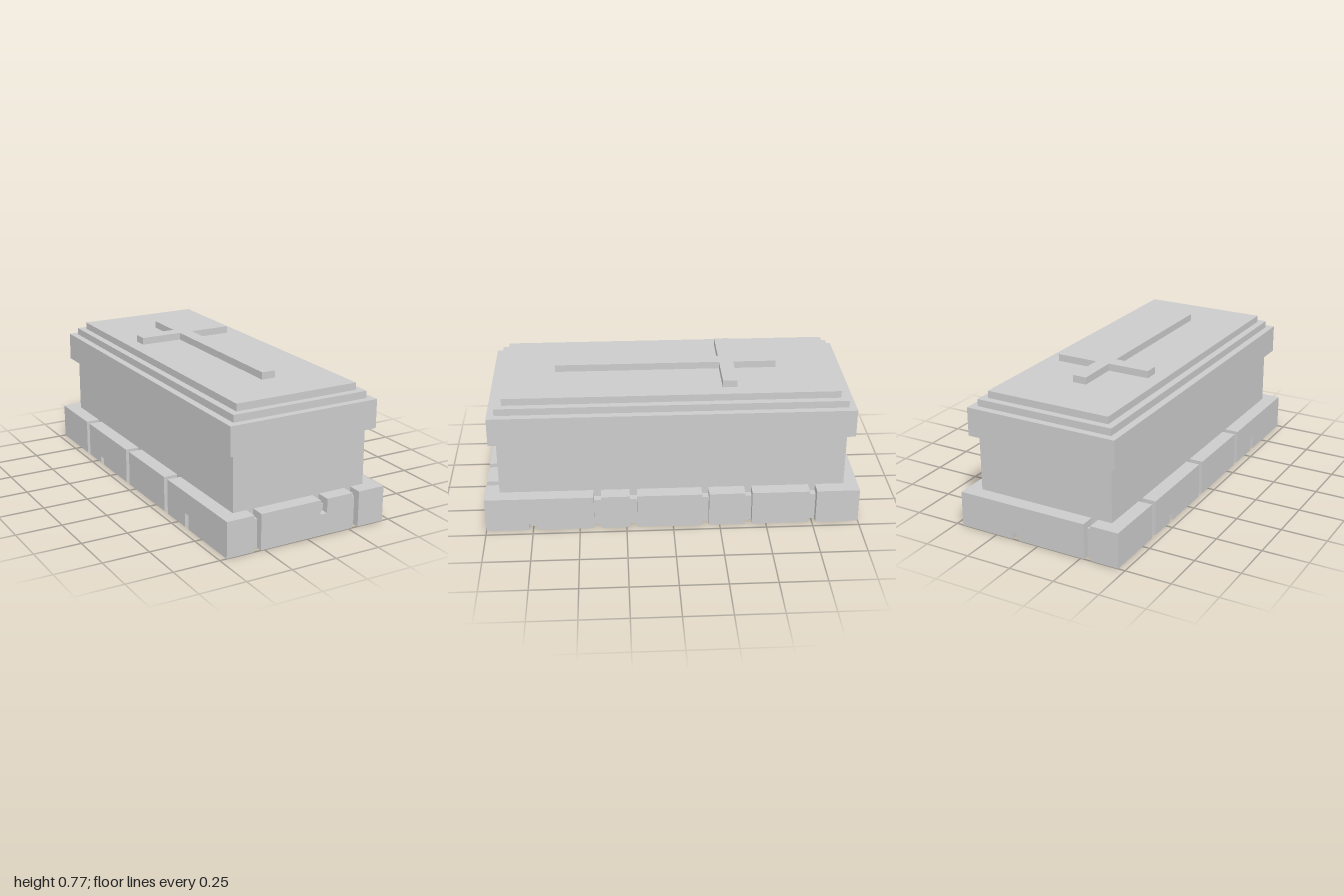
import * as THREE from 'three';

const U = 1 / 26; // one stone unit; all sizes below are in these units
const material = new THREE.MeshStandardMaterial({ color: 0xcccccc, flatShading: true });

export function createModel() {
  const group = new THREE.Group();

  const add = (name, geometry, parent = group) => {
    const mesh = new THREE.Mesh(geometry.scale(U, U, U), material);
    mesh.name = name;
    parent.add(mesh);
  };

  // Box given by its limits
  const slab = (name, x0, x1, y0, y1, z0, z1, parent) =>
    add(name, new THREE.BoxGeometry(x1 - x0, y1 - y0, z1 - z0)
      .translate((x0 + x1) / 2, (y0 + y1) / 2, (z0 + z1) / 2), parent);

  // Stacked slabs, centred: half width, half length, bottom, top
  for (const [name, w, l, y0, y1] of [
    ['baseCore', 11, 25, 0, 4],
    ['body', 10, 24, 4, 13],
    ['lid', 11, 25, 13, 17],
    ['lidLowerStep', 10, 24, 17, 18],
    ['lidUpperStep', 9, 23, 18, 19],
  ]) slab(name, -w, w, y0, y1, -l, l);

  // Raised cross on the lid
  const cross = new THREE.Shape([
    [-1, -16], [1, -16], [1, 7], [7, 7], [7, 9], [1, 9],
    [1, 15], [-1, 15], [-1, 9], [-7, 9], [-7, 7], [-1, 7],
  ].map(([x, y]) => new THREE.Vector2(x, y)));
  add('cross', new THREE.ExtrudeGeometry(cross, { depth: 1, bevelEnabled: false })
    .rotateX(-Math.PI / 2).translate(0, 19, 0));

  // A row of base stones along one side, split by one-unit joints.
  // Chips are one-unit-wide nicks: [position, height, fromTop]
  const stoneRow = (name, half, distance, angle, joints, chips) => {
    const row = new THREE.Group();
    row.name = name;
    group.add(row);
    const starts = [-half, ...joints.map((j) => j + 1)];
    const ends = [...joints, half];
    starts.forEach((a, i) => {
      const b = ends[i];
      const inside = chips.filter(([p]) => p > a && p < b);
      const points = [[a, 0]];
      for (const [p, h, top] of inside)
        if (!top) points.push([p, 0], [p, h], [p + 1, h], [p + 1, 0]);
      points.push([b, 0], [b, 5]);
      for (const [p, h, top] of inside)
        if (top) points.push([p + 1, 5], [p + 1, 5 - h], [p, 5 - h], [p, 5]);
      points.push([a, 5]);
      const shape = new THREE.Shape(points.map(([x, y]) => new THREE.Vector2(x, y)));
      add('baseStone', new THREE.ExtrudeGeometry(shape, { depth: 2, bevelEnabled: false })
        .translate(0, 0, distance).rotateY(angle), row);
    });
  };

  stoneRow('frontStones', 12, 24, 0, [-8, 7], [[2, 2, true]]);
  stoneRow('backStones', 12, 24, Math.PI, [7], [[-4, 1, false]]);
  stoneRow('leftStones', 24, 10, Math.PI / 2, [-11, -6, 4, 10, 19], [[-20, 1, false]]);
  stoneRow('rightStones', 24, 10, -Math.PI / 2, [-17, -3, 9], [[-12, 1, false], [15, 2, false]]);

  return group;
}
